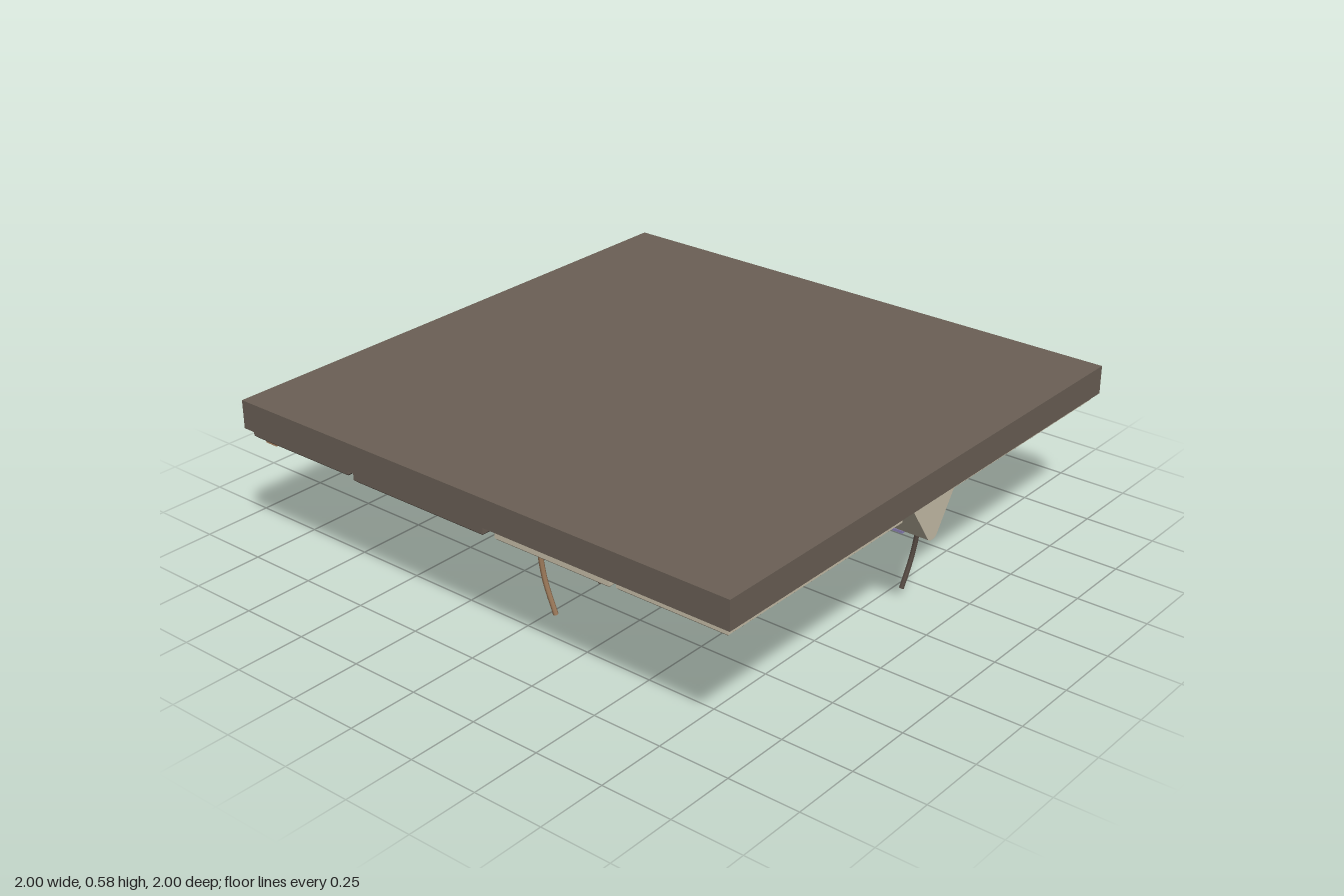
import * as THREE from 'three';

const mat = (name, color) => {
  const m = new THREE.MeshStandardMaterial({ color });
  m.name = name;
  return m;
};

export function createModel() {
  const group = new THREE.Group();
  const brown = mat('brown', 0x6b6056);
  const beige = mat('beige', 0xc8bfa9);
  const lavender = mat('lavender', 0x8a80b4);
  const copper = mat('copper', 0xa98462);
  const cableBrown = mat('cableBrown', 0x5c5048);

  const add = (name, geometry, material) => {
    const mesh = new THREE.Mesh(geometry, material);
    mesh.name = name;
    group.add(mesh);
    return mesh;
  };

  // Box given by its limits on each axis
  const box = (name, [x0, x1], [y0, y1], [z0, z1], material) =>
    add(name, new THREE.BoxGeometry(x1 - x0, y1 - y0, z1 - z0), material)
      .position.set((x0 + x1) / 2, (y0 + y1) / 2, (z0 + z1) / 2);

  // Ceiling panel with chamfered edges, hanging from the slab
  const panel = (name, [x0, x1], bottom, [z0, z1], material) => {
    const b = 0.008, w = (x1 - x0) / 2 - b, d = (z1 - z0) / 2 - b;
    const outline = new THREE.Shape([
      new THREE.Vector2(-w, -d), new THREE.Vector2(w, -d),
      new THREE.Vector2(w, d), new THREE.Vector2(-w, d),
    ]);
    const geometry = new THREE.ExtrudeGeometry(outline, {
      depth: 0.48 - bottom - 2 * b, bevelSize: b, bevelThickness: b, bevelSegments: 1,
    });
    geometry.rotateX(-Math.PI / 2);
    add(name, geometry, material).position.set((x0 + x1) / 2, bottom + b, (z0 + z1) / 2);
  };

  // Slab
  box('slab', [-1, 1], [0.48, 0.58], [-1, 1], brown);

  // Panels on both sides of the beam
  const left = [0.14, 0.98], right = [-0.98, -0.14];
  panel('largePanel', left, 0.4, [-0.98, 0.325], beige);
  panel('leftFrontPanel', left, 0.45, [0.355, 0.98], beige);
  panel('rightFrontPanel', right, 0.445, [0.575, 0.98], beige);
  panel('rightMiddlePanel', right, 0.44, [0.1, 0.55], beige);
  panel('darkMiddlePanel', right, 0.435, [-0.51, 0.05], brown);
  panel('darkBackPanel', right, 0.445, [-0.98, -0.535], brown);

  // Fittings under the panels
  box('panelLight', [0.24, 0.88], [0.443, 0.45], [0.47, 0.5], lavender);
  box('ventBar', [-0.82, -0.31], [0.418, 0.435], [-0.22, -0.2], beige);
  box('copperStrip', [-0.97, -0.14], [0.438, 0.445], [-0.935, -0.885], copper);

  // Central tapered beam
  const profile = new THREE.Shape([
    [-0.11, 0.48], [-0.022, 0.35], [-0.01, 0.343], [0.01, 0.343], [0.022, 0.35], [0.11, 0.48],
  ].map(([x, y]) => new THREE.Vector2(x, y)));
  const beam = new THREE.ExtrudeGeometry(profile, { depth: 2, bevelEnabled: false });
  add('beam', beam.translate(0, 0, -1), beige);

  // Light strips under the beam
  for (let i = -2; i <= 2; i++) {
    box('beamLight', [-0.014, 0.014], [0.334, 0.343], [i * 0.4 - 0.1, i * 0.4 + 0.1], lavender);
  }

  // Loose hanging cables with capped ends
  const cable = (name, points, material) => {
    const curve = new THREE.CatmullRomCurve3(points.map((p) => new THREE.Vector3(...p)));
    add(name, new THREE.TubeGeometry(curve, 16, 0.009, 6), material);
    for (const t of [0, 1]) {
      const cap = add(name + 'End', new THREE.CircleGeometry(0.009, 6), material);
      cap.position.copy(curve.getPoint(t));
      const out = curve.getTangent(t).multiplyScalar(t ? 1 : -1);
      cap.quaternion.setFromUnitVectors(new THREE.Vector3(0, 0, 1), out);
    }
  };
  cable('copperCable', [[-0.685, 0.39, -0.005], [-0.69, 0.29, 0], [-0.67, 0.14, 0.002], [-0.645, 0.005, 0.022]], copper);
  cable('middleCable', [[-0.525, 0.39, 0.06], [-0.52, 0.28, 0.053], [-0.495, 0.16, 0.055], [-0.485, 0.068, 0.073]], cableBrown);
  cable('frontCable', [[0.14, 0.39, 0.855], [0.155, 0.28, 0.85], [0.16, 0.16, 0.83], [0.135, 0.045, 0.813]], cableBrown);

  return group;
}
